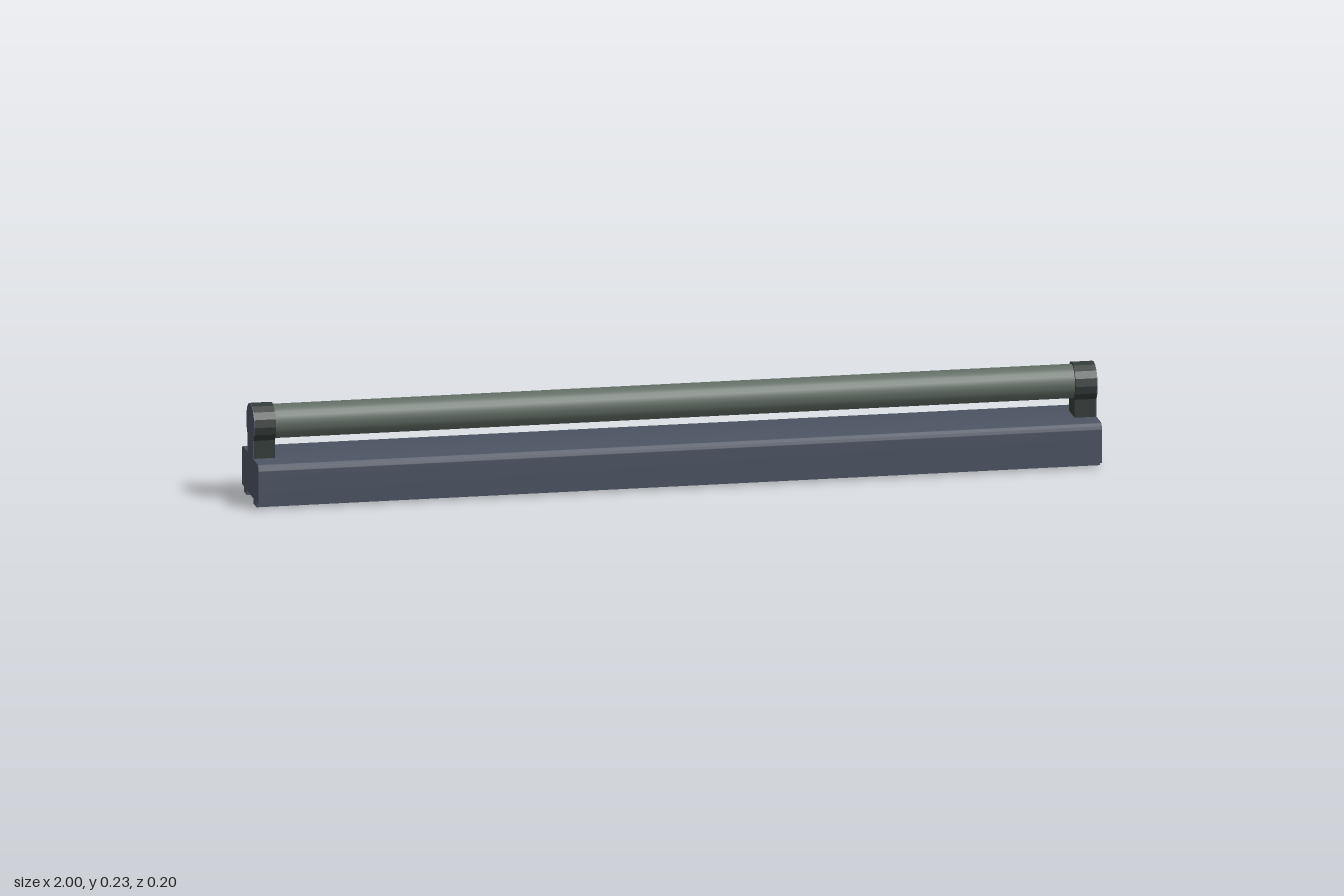
import * as THREE from 'three';
import { toCreasedNormals } from 'three/addons/utils/BufferGeometryUtils.js';

const paint = (name, color) => {
  const m = new THREE.MeshStandardMaterial({ color });
  m.name = name;
  return m;
};

// Extrude a (z, y) profile along x, centred on x = 0
function extrudeAlongX(shape, length, crease) {
  const g = new THREE.ExtrudeGeometry(shape, { depth: length, bevelEnabled: false, curveSegments: 6 });
  g.translate(0, 0, -length / 2);
  g.rotateY(Math.PI / 2);
  return toCreasedNormals(g, crease);
}

function housingShape() {
  const w = 0.1, bottom = 0.012, top = 0.106, r = 0.015;
  const s = new THREE.Shape();
  s.moveTo(-w, bottom);
  s.lineTo(w, bottom);
  s.lineTo(w, top - r);
  s.absarc(w - r, top - r, r, 0, Math.PI / 2, false);
  s.lineTo(-w + r, top);
  s.absarc(-w + r, top - r, r, Math.PI / 2, Math.PI, false);
  s.closePath();
  return s;
}

// Keyhole outline: straight neck under a faceted round head
function holderShape() {
  const r = 0.048, cy = 0.183, neck = r * Math.SQRT1_2;
  const pts = [new THREE.Vector2(-neck, 0.104), new THREE.Vector2(neck, 0.104)];
  for (let i = 0; i <= 12; i++) {
    const a = -Math.PI / 4 + i * Math.PI / 8;
    pts.push(new THREE.Vector2(r * Math.cos(a), cy + r * Math.sin(a)));
  }
  return new THREE.Shape(pts);
}

export function createModel() {
  const steel = paint('blue grey housing', 0x4c5463);
  const glass = paint('grey green tube', 0x616e65);
  const dark = paint('dark holder', 0x343c3a);

  const group = new THREE.Group();
  group.name = 'tubeLamp';
  const add = (name, geometry, material, x = 0, y = 0, z = 0) => {
    const mesh = new THREE.Mesh(geometry, material);
    mesh.name = name;
    mesh.position.set(x, y, z);
    group.add(mesh);
  };

  // Long housing with rounded upper edges
  add('housing', extrudeAlongX(housingShape(), 2, 0.6), steel);

  // Mounting rails underneath
  for (const side of [-1, 1]) {
    add(side > 0 ? 'frontRail' : 'backRail', new THREE.BoxGeometry(2, 0.014, 0.034), steel, 0, 0.007, side * 0.058);
  }

  // Tube between the holders
  const tube = new THREE.CylinderGeometry(0.04, 0.04, 1.92, 24);
  tube.rotateZ(Math.PI / 2);
  add('tube', tube, glass, 0, 0.186, 0);

  // Holders with housing-coloured outer faces
  const holder = extrudeAlongX(holderShape(), 0.05, 0.3);
  const plate = extrudeAlongX(holderShape(), 0.002, 0.3);
  for (const side of [-1, 1]) {
    const label = side > 0 ? 'left' : 'right';
    add(label + 'Holder', holder, dark, side * 0.973);
    add(label + 'HolderEndPlate', plate, steel, side * 0.999);
  }
  return group;
}
